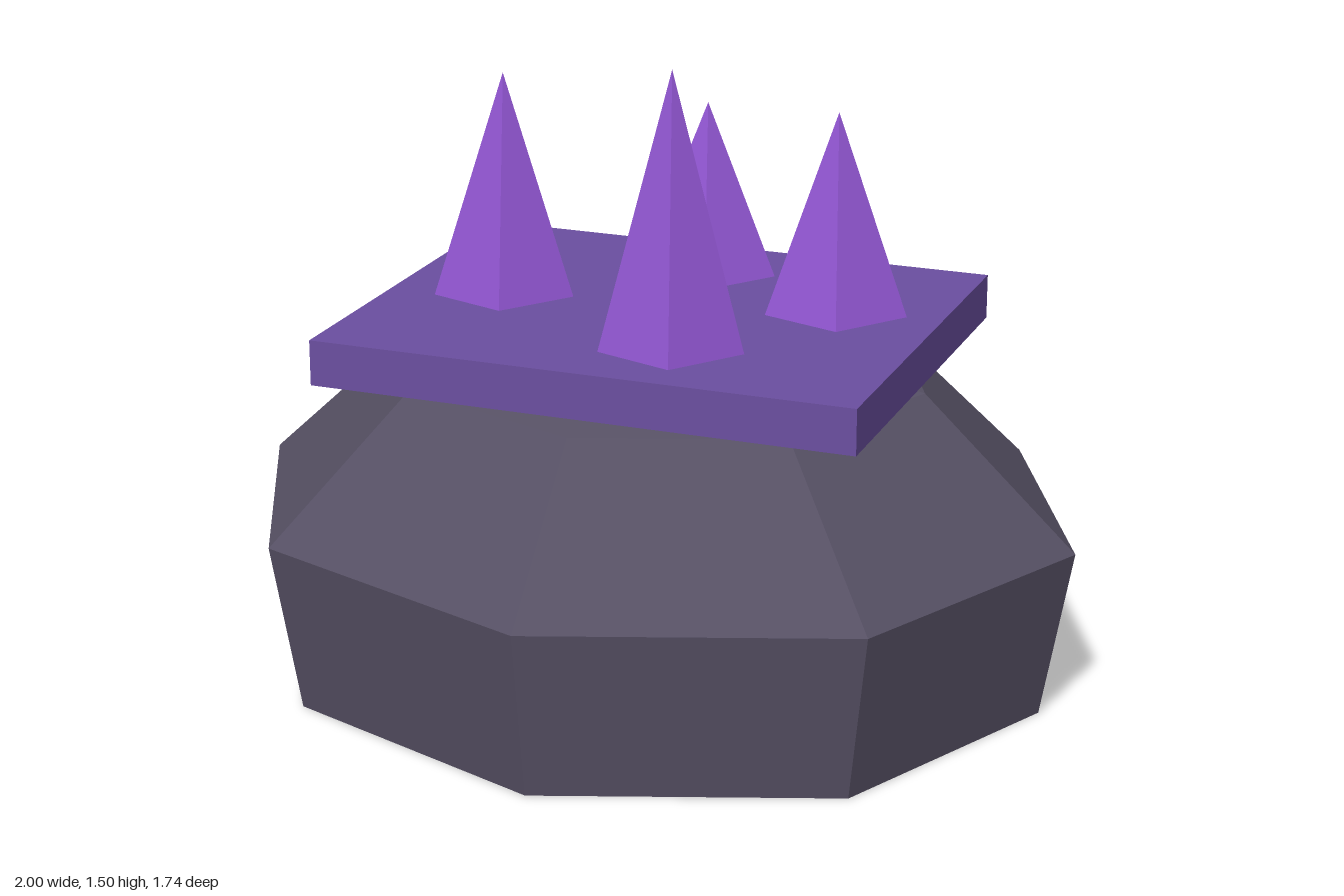
import * as THREE from 'three';

const rockMat = new THREE.MeshStandardMaterial({ color: 0x565064, flatShading: true });
rockMat.name = 'dark stone';
const slabMat = new THREE.MeshStandardMaterial({ color: 0x6b4fa0, flatShading: true });
slabMat.name = 'violet slab';
const crystalMat = new THREE.MeshStandardMaterial({ color: 0x9055d0, flatShading: true });
crystalMat.name = 'bright crystal';

export function createModel() {
  const model = new THREE.Group();
  model.name = 'crystalRock';
  const add = (name, geometry, material, x, y, z) => {
    const mesh = new THREE.Mesh(geometry, material);
    mesh.name = name;
    mesh.position.set(x, y, z);
    model.add(mesh);
    return mesh;
  };

  // Eight-sided boulder, slightly shallower than wide
  const profile = [[0, 0], [0.93, 0], [1, 0.4], [0.64, 0.738], [0.4, 0.79], [0, 0.79]];
  const rock = new THREE.LatheGeometry(profile.map(([r, y]) => new THREE.Vector2(r, y)), 8);
  rock.scale(1, 1, 0.872);
  add('boulder', rock, rockMat, 0, 0, 0);

  // Flat slab resting on the boulder
  add('slab', new THREE.BoxGeometry(1.28, 0.106, 1.024), slabMat, 0, 0.817, 0);

  // Five-sided crystal spikes: x, z, tip height
  const base = 0.868;
  const spikes = [[-0.385, 0, 1.39], [0.128, 0.256, 1.497], [0.385, -0.128, 1.335], [0, -0.32, 1.28]];
  spikes.forEach(([x, z, tip], i) => {
    const height = tip - base;
    const cone = new THREE.ConeGeometry(0.171, height, 5);
    cone.rotateY(Math.PI / 2);
    add('crystal' + (i + 1), cone, crystalMat, x, base + height / 2, z);
  });

  return model;
}
